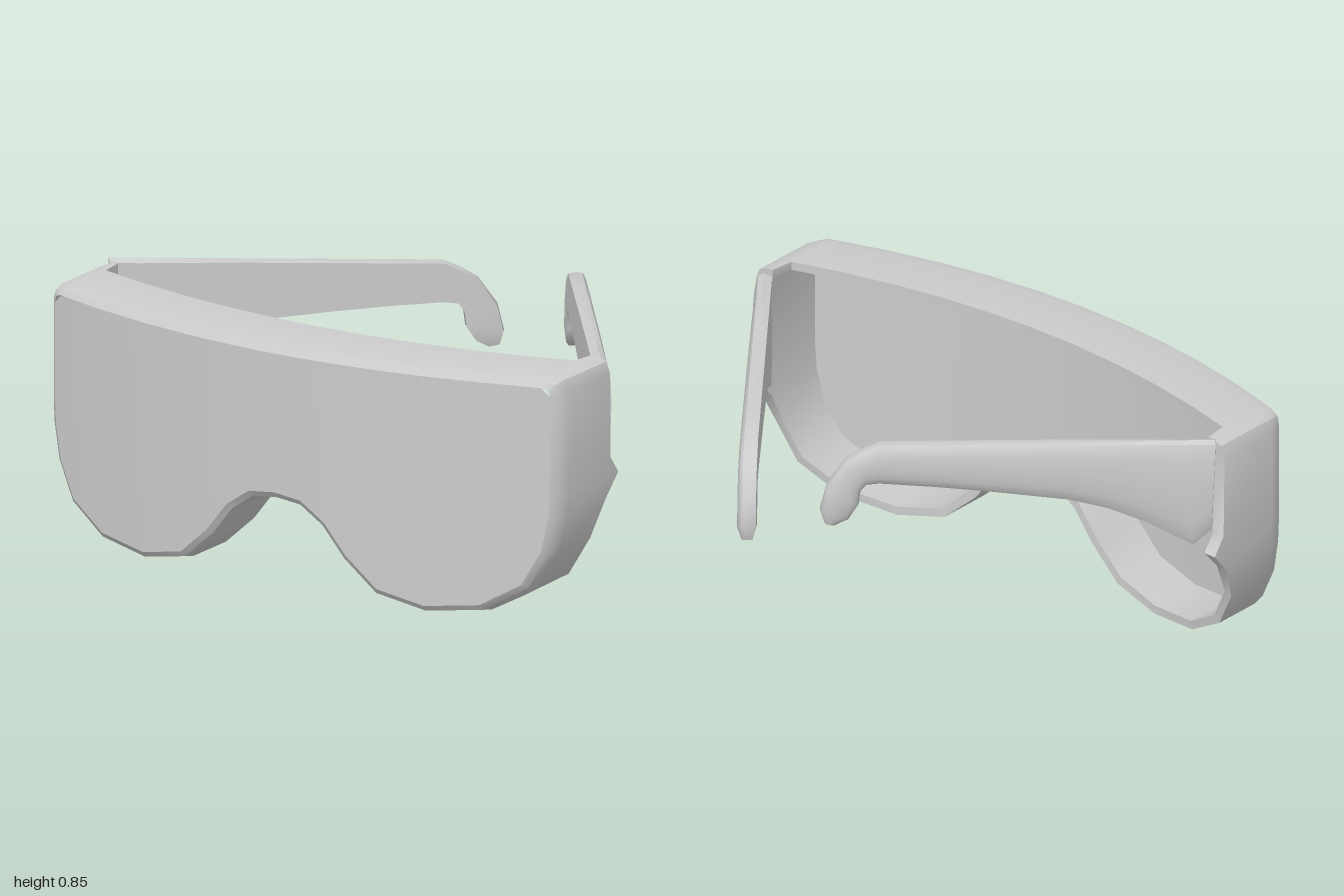
import * as THREE from 'three';
import { toCreasedNormals } from 'three/addons/utils/BufferGeometryUtils.js';

const V = (x, y, z) => new THREE.Vector3(x, y, z);
const frontZ = (x) => 0.76 - 0.18 * x * x; // curve of the lens
const backZ = (x) => 0.51 - 0.17 * x * x; // rear edge of the frame

// Skin a row of cross-sections (arrays of points)
function loft(rings, { loop = false, ringClosed = true, caps = false, flip = false } = {}) {
  const n = rings[0].length, m = rings.length, index = [];
  const tri = (a, b, c) => (flip ? index.push(a, c, b) : index.push(a, b, c));
  for (let i = 0; i < (loop ? m : m - 1); i++) {
    for (let j = 0; j < (ringClosed ? n : n - 1); j++) {
      const a = i * n + j, b = i * n + (j + 1) % n;
      const d = ((i + 1) % m) * n + j, c = ((i + 1) % m) * n + (j + 1) % n;
      tri(a, b, c);
      tri(a, c, d);
    }
  }
  if (caps) {
    const last = (m - 1) * n;
    for (let j = 1; j < n - 1; j++) {
      tri(0, j + 1, j);
      tri(last, last + j, last + j + 1);
    }
  }
  const g = new THREE.BufferGeometry().setFromPoints(rings.flat());
  g.setIndex(index);
  return toCreasedNormals(g, 0.65);
}

// Half outline from the nose bridge round to the top centre: x, y, optional rear z
const lower = [
  [0, 0.315], [0.09, 0.305], [0.17, 0.25], [0.25, 0.15], [0.37, 0.045], [0.55, 0.005],
  [0.75, 0.03], [0.9, 0.12], [0.97, 0.25],
];
const upper = [
  [0.995, 0.37, 0.3], [1, 0.45, 0.23], [1, 0.51, 0.275], [1, 0.8, 0.28], [0.985, 0.835, 0.28],
  [0.95, 0.85, 0.28], [0.93, 0.85, 0.28], [0.92, 0.85], [0.75, 0.85], [0.55, 0.85],
  [0.37, 0.85], [0.18, 0.85], [0, 0.85],
];

function outline() {
  const half = [...lower, ...upper];
  const other = half.slice(1, -1).reverse().map(([x, y, z]) => [-x, y, z]);
  const pts = [...half, ...other];
  return pts.map(([x, y, z], i) => {
    const p = pts[(i + pts.length - 1) % pts.length], q = pts[(i + 1) % pts.length];
    // inward normal from the bisector of both neighbouring edges
    const e1 = new THREE.Vector2(x - p[0], y - p[1]).normalize();
    const e2 = new THREE.Vector2(q[0] - x, q[1] - y).normalize();
    const t = e1.add(e2).normalize();
    return { x, y, back: z ?? backZ(x), wall: z ? 0.045 : 0.03, nx: -t.y, ny: t.x };
  });
}

function frameGeometry(points) {
  return loft(points.map((p) => {
    const at = (inset, zOf) => {
      const x = p.x + p.nx * inset;
      return V(x, p.y + p.ny * inset, zOf(x));
    };
    return [
      at(0.03, frontZ),
      at(0.01, (x) => frontZ(x) - 0.015),
      at(0, (x) => frontZ(x) - 0.06),
      at(0, () => p.back),
      at(p.wall, () => p.back),
      at(0.03, (x) => frontZ(x) - 0.045),
    ];
  }), { loop: true });
}

// One sheet of the lens: vertical strips bent along the front curve
function lensGeometry(points, setBack, flip) {
  const right = points.slice(0, lower.length + 2).map((p) => [p.x + p.nx * 0.03, p.y + p.ny * 0.03]);
  const columns = [...right.slice(1).reverse().map(([x, y]) => [-x, y]), ...right];
  const rings = columns.map(([x, y]) => {
    const z = frontZ(x) - setBack;
    const top = 0.82 - Math.max(0, Math.abs(x) - 0.94);
    return [V(x, top, z), V(x, y, z)];
  });
  return loft(rings, { ringClosed: false, flip });
}

// Temple stations: top z, top y, bottom z, bottom y, ending in the ear hook
const stations = [
  [0.28, 0.835, 0.27, 0.51], [0.2, 0.832, 0.22, 0.45], [0.1, 0.828, 0.1, 0.53],
  [0, 0.824, 0, 0.58], [-0.1, 0.82, -0.1, 0.61], [-0.3, 0.812, -0.3, 0.635],
  [-0.45, 0.806, -0.45, 0.65], [-0.6, 0.8, -0.6, 0.66], [-0.65, 0.77, -0.635, 0.655],
  [-0.69, 0.74, -0.65, 0.63], [-0.74, 0.65, -0.655, 0.58], [-0.757, 0.56, -0.68, 0.53],
  [-0.745, 0.512, -0.715, 0.505],
];

// Flat inside, rounded outside
function templeGeometry(side) {
  const along = (z) => (z - 0.28) * 1.25;
  const rings = stations.map(([tz, ty, bz, by], i) => {
    const s = i === stations.length - 1 ? 0.6 : 1;
    const top = V(0, ty, along(tz)), bottom = V(0, by, along(bz));
    const point = (u, w) => {
      const p = top.clone().lerp(bottom, u);
      p.x = side * w * s;
      return p;
    };
    const ring = [];
    for (let k = 0; k <= 10; k++) {
      const a = (k / 10) * Math.PI;
      ring.push(point((1 - Math.cos(a)) / 2, 0.035 * Math.pow(Math.max(0, Math.sin(a)), 0.6)));
    }
    ring.push(point(0.97, -0.028), point(0.03, -0.028));
    return ring;
  });
  return loft(rings, { caps: true, flip: side < 0 });
}

export function createModel() {
  const model = new THREE.Group();
  model.name = 'visorGlasses';
  const material = new THREE.MeshStandardMaterial({ color: 0xcccccc });
  const add = (name, geometry) => {
    const mesh = new THREE.Mesh(geometry, material);
    mesh.name = name;
    model.add(mesh);
    return mesh;
  };

  const points = outline();
  add('frame', frameGeometry(points));
  add('lensFront', lensGeometry(points, 0, false));
  add('lensBack', lensGeometry(points, 0.045, true));

  // Temples folded inwards by different amounts
  const left = add('leftTemple', templeGeometry(1));
  left.position.set(0.955, 0, 0.265);
  left.rotation.y = 0.656;
  const right = add('rightTemple', templeGeometry(-1));
  right.position.set(-0.975, 0.025, 0.265);
  right.rotation.y = -0.909;

  return model;
}
